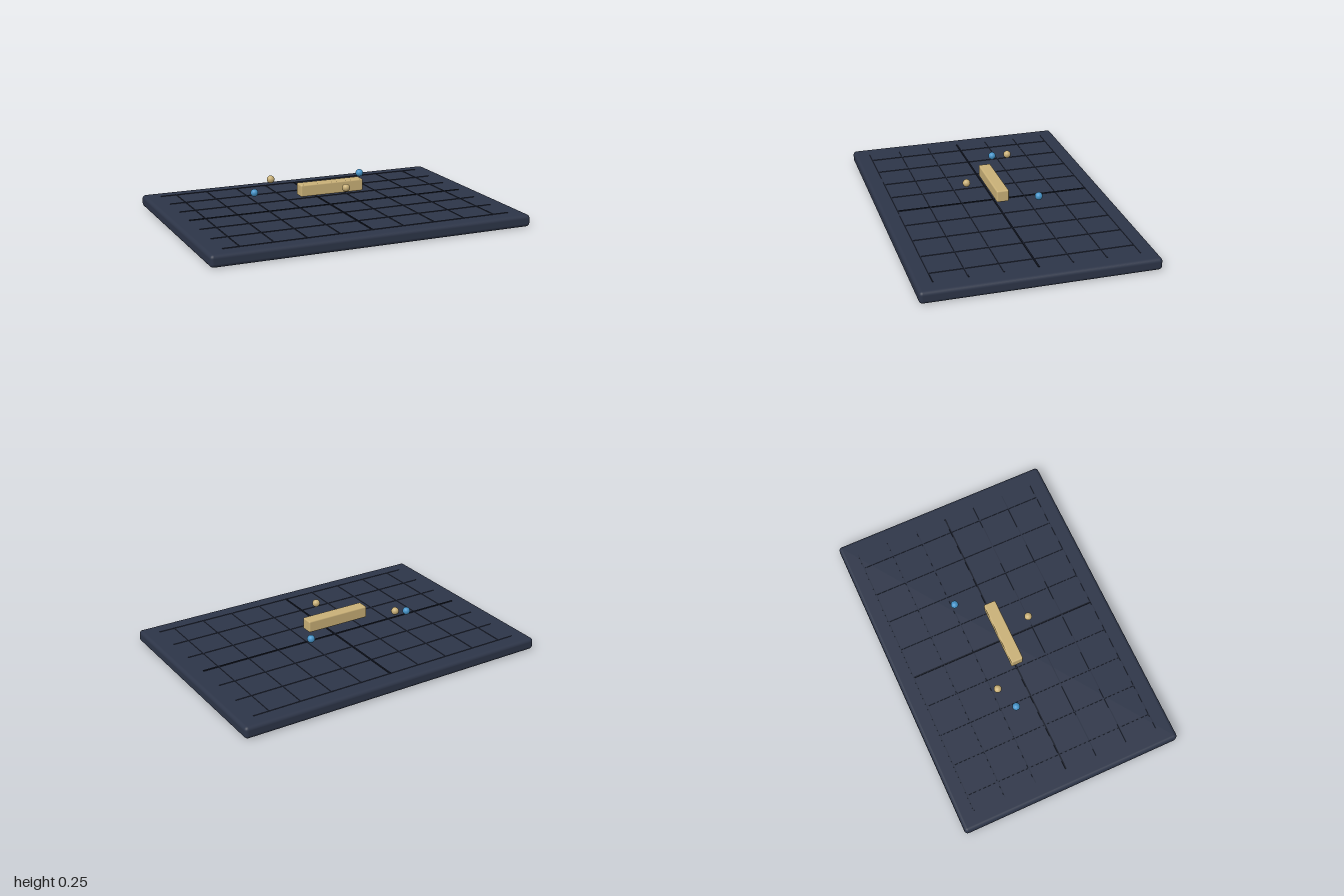
import * as THREE from 'three';
import { RoundedBoxGeometry } from 'three/addons/geometries/RoundedBoxGeometry.js';

const material = (name, color) => {
  const m = new THREE.MeshStandardMaterial({ color });
  m.name = name;
  return m;
};

export function createModel() {
  const slate = material('slate', 0x2d3548);
  const dimLine = material('dim line', 0x293042);
  const darkLine = material('dark line', 0x161b28);
  const gold = material('gold', 0xc9b077);
  const blue = material('blue', 0x4493c8);

  const model = new THREE.Group();
  model.name = 'gridBoard';

  const add = (parent, name, geometry, mat, x, y, z) => {
    const mesh = new THREE.Mesh(geometry, mat);
    mesh.name = name;
    mesh.position.set(x, y, z);
    parent.add(mesh);
    return mesh;
  };

  // Rounded base slab
  const top = 0.073;
  add(model, 'base', new RoundedBoxGeometry(2, top, 1.395, 3, 0.022), slate, 0, top / 2, 0);

  // Grid of thin strips, with a darker pair of axes through the middle
  const grid = new THREE.Group();
  grid.name = 'grid';
  model.add(grid);
  const strip = (name, i, alongX) => {
    const axis = i === 0;
    const width = axis ? 0.009 : 0.006;
    const height = axis ? 0.005 : 0.004;
    const geometry = alongX
      ? new THREE.BoxGeometry(1.8, height, width)
      : new THREE.BoxGeometry(width, height, 1.2);
    add(grid, name, geometry, axis ? darkLine : dimLine,
      alongX ? 0 : i * 0.2, top + height / 2 - 0.0005, alongX ? i * 0.2 : 0);
  };
  for (let i = -3; i <= 3; i++) strip('longLine', i, true);
  for (let i = -4; i <= 4; i++) strip('crossLine', i, false);

  // Floating bar
  add(model, 'bar', new RoundedBoxGeometry(0.412, 0.074, 0.076, 3, 0.009), gold, -0.002, 0.187, 0);

  // Floating beads
  const bead = new THREE.SphereGeometry(0.0235, 20, 14);
  add(model, 'goldBead', bead, gold, 0.025, 0.219, 0.178);
  add(model, 'goldBead', bead, gold, -0.32, 0.223, -0.182);
  add(model, 'blueBead', bead, blue, -0.45, 0.166, -0.12);
  add(model, 'blueBead', bead, blue, 0.288, 0.202, -0.196);

  return model;
}
